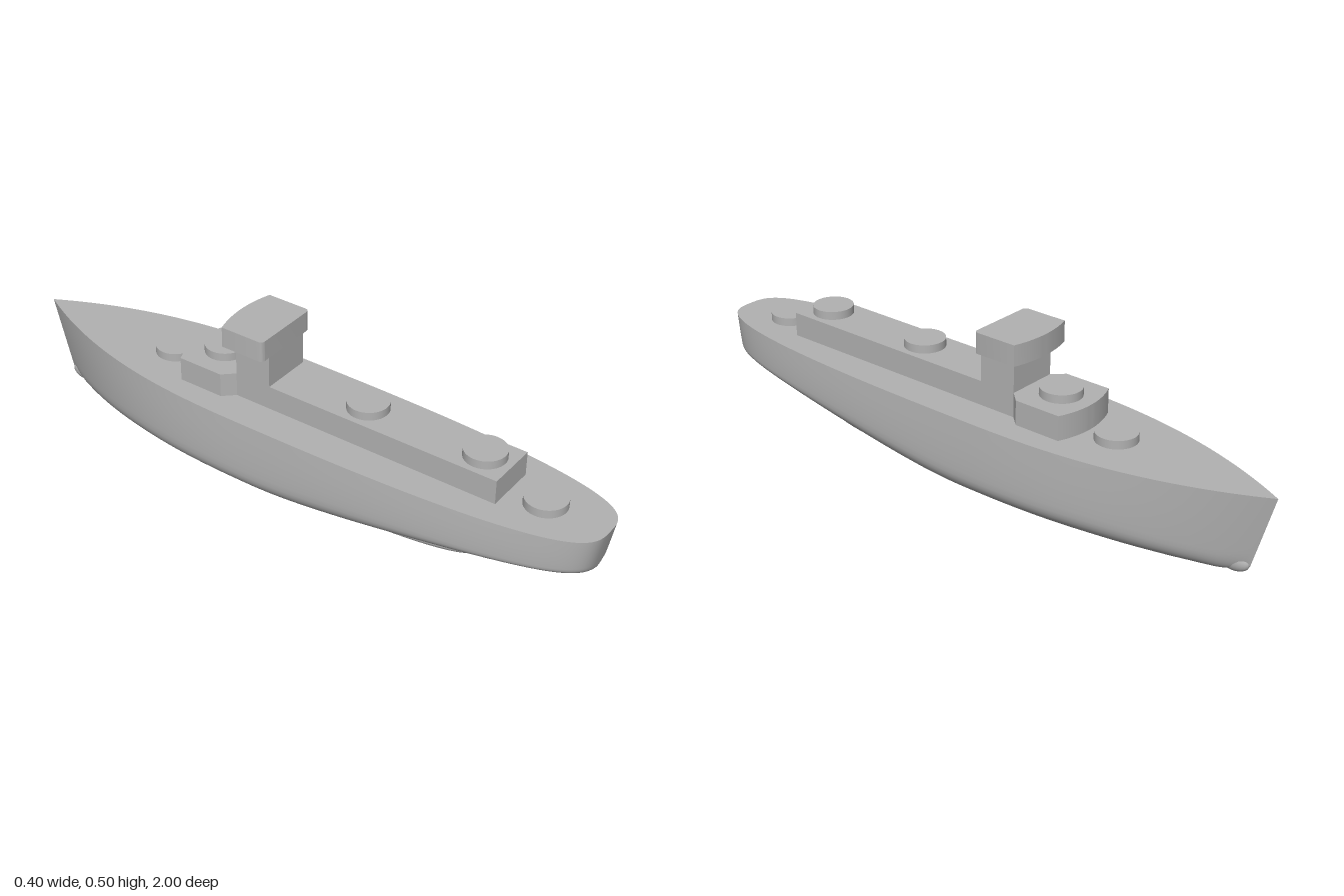
import * as THREE from 'three';
import { toCreasedNormals } from 'three/addons/utils/BufferGeometryUtils.js';

const DECK = 0.26, ROOF = 0.336;
const grey = new THREE.MeshStandardMaterial({ color: 0xb2b2b2 });
grey.name = 'naval grey';
const { smoothstep, lerp } = THREE.MathUtils;

// Half width of the deck: blunt round stern at +z, fine bow at -z
function halfBeam(z) {
  if (z > -0.1) return 0.193 * Math.pow(Math.max(0, 1 - Math.pow((z + 0.1) / 1.1, 2.5)), 0.31);
  return 0.193 * Math.max(0, 1 - Math.pow((-0.1 - z) / 0.9, 2.5));
}

// Height of the bottom: rises aft, rounded up at the foot of the stem
function keelY(z) {
  return 0.13 * smoothstep(z, -0.1, 1.05) + 0.03 * Math.pow(Math.max(0, (-z - 0.9) / 0.1), 2);
}

// Slide a station along z so that stem and stern rake inward below the deck
function raked(z, y) {
  const drop = DECK - y;
  return lerp(-1 + 0.286 * drop, 1 - 0.19 * drop, (z + 1) / 2);
}

// One hull section, from the left deck edge round the keel to the right
function section(z) {
  const b = halfBeam(z), yb = keelY(z);
  const h = 0.1 - 0.065 * smoothstep(z, 0.1, 1) - 0.03 * smoothstep(-z, 0.5, 1);
  const half = [];
  for (let j = 0; j < 6; j++) {
    const t = j / 6;
    half.push([b * (1 + 0.04 * Math.sin(t * Math.PI / 2)), lerp(DECK, yb + h, t)]);
  }
  for (let j = 0; j <= 14; j++) {
    const a = (j / 14) * Math.PI / 2;
    half.push([b * 1.04 * Math.pow(Math.max(0, Math.cos(a)), 0.77),
      yb + h * (1 - Math.pow(Math.sin(a), 0.77))]);
  }
  const mirrored = half.slice(0, -1).reverse().map(([x, y]) => [-x, y]);
  return [...half, ...mirrored].map(([x, y]) => [x, y, raked(z, y)]);
}

// Skin a list of equally long rows of points
function loft(rows) {
  const n = rows[0].length, index = [];
  for (let i = 0; i < rows.length - 1; i++) {
    for (let j = 0; j < n - 1; j++) {
      const a = i * n + j, b = a + n;
      index.push(a, a + 1, b, a + 1, b + 1, b);
    }
  }
  const g = new THREE.BufferGeometry();
  g.setAttribute('position', new THREE.Float32BufferAttribute(rows.flat(2), 3));
  g.setIndex(index);
  g.computeVertexNormals();
  return g;
}

// Raise a plan (x, forward) from height y0 to y1
function raise(shape, y0, y1) {
  const g = new THREE.ExtrudeGeometry(shape, { depth: y1 - y0, bevelEnabled: false, curveSegments: 24 });
  g.rotateX(-Math.PI / 2).translate(0, y0, 0);
  return toCreasedNormals(g, 0.4);
}

export function createModel() {
  const model = new THREE.Group();
  model.name = 'warship';
  const add = (name, geometry) => {
    const mesh = new THREE.Mesh(geometry, grey);
    mesh.name = name;
    model.add(mesh);
    return mesh;
  };
  const box = (name, w, y0, y1, z0, z1) =>
    add(name, new THREE.BoxGeometry(w, y1 - y0, z1 - z0)).position.set(0, (y0 + y1) / 2, (z0 + z1) / 2);

  // Hull and deck, stations packed closer at both ends
  const N = 90;
  const stations = Array.from({ length: N + 1 }, (_, i) => Math.cos(Math.PI * i / N));
  const rows = stations.map(section);
  const hull = loft(rows);
  for (let j = 0; j < rows[0].length; j++) hull.attributes.normal.setXYZ(j, 0, -0.19, 0.98);
  add('hull', hull);
  add('deck', loft(stations.map(z => [[-halfBeam(z), DECK, z], [halfBeam(z), DECK, z]])));

  // Rounded foot of the stem
  const foot = add('stemFoot', new THREE.SphereGeometry(1, 24, 16));
  foot.scale.set(0.02, 0.03, 0.05);
  foot.position.set(0, 0.031, -0.882);

  // Skeg under the stern, blunt aft end and softened lower edge
  const plan = new THREE.Shape();
  plan.moveTo(-0.1, 0);
  plan.bezierCurveTo(-0.1, -0.3, -0.075, -0.62, 0, -0.62);
  plan.bezierCurveTo(0.075, -0.62, 0.1, -0.3, 0.1, 0);
  const skeg = new THREE.ExtrudeGeometry(plan, {
    depth: 0.08, bevelSize: 0.015, bevelThickness: 0.015, bevelOffset: -0.015, bevelSegments: 4, curveSegments: 24,
  });
  skeg.rotateX(-Math.PI / 2).translate(0, 0.015, 0);
  add('skeg', toCreasedNormals(skeg, 0.6));

  // Long deckhouse and tower
  box('aftDeckhouse', 0.164, DECK, ROOF, -0.19, 0.695);
  box('tower', 0.164, ROOF, 0.435, -0.185, -0.065);

  // Forward deckhouse with slanted aft corners and bowed front
  const house = new THREE.Shape();
  house.moveTo(-0.082, 0.185);
  house.lineTo(0.082, 0.185);
  house.lineTo(0.115, 0.22);
  house.lineTo(0.115, 0.37);
  house.quadraticCurveTo(0, 0.42, -0.115, 0.37);
  house.lineTo(-0.115, 0.22);
  house.closePath();
  add('forwardDeckhouse', raise(house, DECK, ROOF));

  // Bridge with rounded aft corners and bowed front
  const bridge = new THREE.Shape();
  bridge.moveTo(-0.098, 0.065);
  bridge.lineTo(0.098, 0.065);
  bridge.quadraticCurveTo(0.113, 0.065, 0.113, 0.08);
  bridge.lineTo(0.113, 0.21);
  bridge.quadraticCurveTo(0, 0.246, -0.113, 0.21);
  bridge.lineTo(-0.113, 0.08);
  bridge.quadraticCurveTo(-0.113, 0.065, -0.098, 0.065);
  add('bridge', raise(bridge, 0.435, 0.5));

  // Round gun mounts along the centre line
  const mount = new THREE.CylinderGeometry(0.063, 0.063, 0.026, 48);
  [[DECK, 0.805], [ROOF, 0.61], [ROOF, 0.225], [ROOF, -0.29], [DECK, -0.485]].forEach(([y, z], i) => {
    add('gunMount' + (i + 1), mount).position.set(0, y + 0.013, z);
  });
  return model;
}
